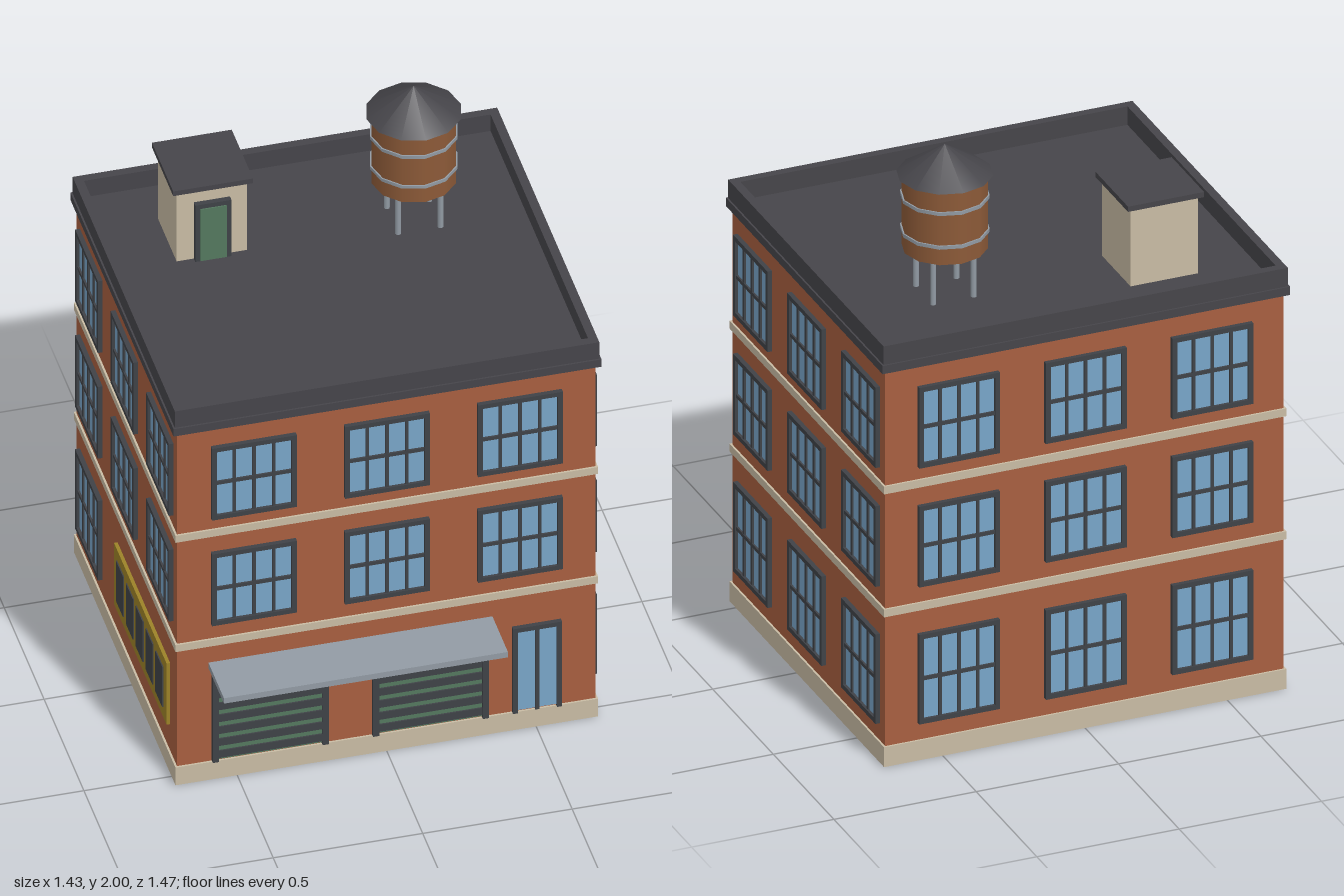
import * as THREE from 'three';

const mat = (name, color) => {
  const m = new THREE.MeshStandardMaterial({ color });
  m.name = name;
  return m;
};

export function createModel() {
  const brick = mat('brick', 0xa85f40);
  const stone = mat('stone', 0xc9bca4);
  const roof = mat('roofing', 0x46454a);
  const trim = mat('darkTrim', 0x3f4247);
  const glass = mat('glass', 0x78a5c8);
  const green = mat('greenPaint', 0x54785f);
  const metal = mat('metal', 0x929ba4);
  const wood = mat('wood', 0x8c5a38);
  const yellow = mat('yellowPaint', 0x9c8228);

  const model = new THREE.Group();
  model.name = 'warehouse';
  const building = new THREE.Group();
  building.name = 'building';
  building.position.z = -0.088;
  model.add(building);

  const add = (parent, name, geometry, material, x = 0, y = 0, z = 0) => {
    const mesh = new THREE.Mesh(geometry, material);
    mesh.name = name;
    mesh.position.set(x, y, z);
    parent.add(mesh);
    return mesh;
  };
  // Box given by its centre in x and z, and its bottom and top heights
  const block = (parent, name, material, w, d, y0, y1, x = 0, z = 0) =>
    add(parent, name, new THREE.BoxGeometry(w, y1 - y0, d), material, x, (y0 + y1) / 2, z);
  // Plate on a wall, standing out from the wall surface (local z = 0) by depth
  const plate = (parent, name, material, x, y, w, h, depth) =>
    add(parent, name, new THREE.BoxGeometry(w, h, depth + 0.004), material, x, y, (depth - 0.004) / 2);

  // Main masses
  const HX = 0.7, HZ = 0.631;
  const slab = (name, material, out, y0, y1) =>
    block(building, name, material, 2 * (HX + out), 2 * (HZ + out), y0, y1);
  slab('walls', brick, 0, 0, 1.44);
  slab('plinth', stone, 0.007, 0.001, 0.073);
  slab('lowerBand', stone, 0.007, 0.545, 0.573);
  slab('upperBand', stone, 0.007, 0.992, 1.02);
  slab('cornice', roof, 0.016, 1.435, 1.465);

  // Parapet around the roof deck
  for (const s of [-1, 1]) {
    block(building, 'parapetLong', roof, 1.42, 0.03, 1.465, 1.532, 0, s * 0.626);
    block(building, 'parapetShort', roof, 0.03, 1.222, 1.465, 1.532, s * 0.695, 0);
  }

  // Frame with open middle; the bottom rail is optional
  const frame = (g, w, h, t, bottom = true) => {
    for (const s of [-1, 1]) plate(g, 'frameSide', trim, s * (w - t) / 2, 0, t, h, 0.016);
    plate(g, 'frameTop', trim, 0, (h - t) / 2, w - 2 * t, t, 0.016);
    if (bottom) plate(g, 'frameBottom', trim, 0, (t - h) / 2, w - 2 * t, t, 0.016);
  };
  const opening = (wall, name, x, y) => {
    const g = new THREE.Group();
    g.name = name;
    g.position.set(x, y, 0);
    wall.add(g);
    return g;
  };
  const addWindow = (wall, x, y, h) => {
    const g = opening(wall, 'window', x, y), w = 0.284;
    plate(g, 'pane', glass, 0, 0, w - 0.02, h - 0.02, 0.006);
    frame(g, w, h, 0.017);
    for (const i of [-1, 0, 1]) plate(g, 'mullion', trim, i * 0.066, 0, 0.011, h - 0.034, 0.012);
    plate(g, 'crossBar', trim, 0, 0, w - 0.034, 0.013, 0.0125);
  };

  // The four walls as groups facing outwards
  const addWall = (name, angle, dist) => {
    const g = new THREE.Group();
    g.name = name;
    g.rotation.y = angle;
    g.position.set(Math.sin(angle) * dist, 0, Math.cos(angle) * dist);
    building.add(g);
    return g;
  };
  const front = addWall('frontWall', 0, HZ);
  const back = addWall('backWall', Math.PI, HZ);
  const left = addWall('leftWall', Math.PI / 2, HX);
  const right = addWall('rightWall', -Math.PI / 2, HX);
  const columns = [-0.445, 0, 0.445];
  for (const wall of [front, back, left, right]) {
    for (const x of columns) {
      addWindow(wall, x, 1.212, 0.293);
      addWindow(wall, x, 0.78, 0.293);
      const plain = wall === back || wall === left || (wall === right && x < -0.1);
      if (plain) addWindow(wall, x, 0.298, 0.325);
    }
  }

  // Roller doors with dark ribs
  for (const x of [-0.39, 0.146]) {
    const g = opening(front, 'rollerDoor', x, 0.249), w = 0.388, h = 0.35;
    plate(g, 'shutter', green, 0, 0, w - 0.02, h - 0.01, 0.006);
    frame(g, w, h, 0.021, false);
    for (let i = 0; i < 7; i++) plate(g, 'rib', trim, 0, 0.145 - i * 0.0488, w - 0.042, 0.029, 0.011);
  }

  // Glazed entrance door
  const door = opening(front, 'entranceDoor', 0.502, 0.247);
  plate(door, 'doorGlass', glass, 0, 0, 0.145, 0.335, 0.006);
  frame(door, 0.164, 0.346, 0.017, false);
  plate(door, 'doorPost', trim, 0, -0.008, 0.013, 0.329, 0.012);

  // Canopy over the roller doors
  block(building, 'canopy', metal, 0.95, 0.2, 0.453, 0.475, -0.12, 0.726);

  // Yellow board with five dark panels
  const board = opening(right, 'wallBoard', 0.215, 0.305);
  plate(board, 'boardBack', yellow, 0, 0, 0.66, 0.25, 0.012);
  for (let i = -2; i <= 2; i++) plate(board, 'boardPanel', trim, i * 0.123, 0, 0.088, 0.165, 0.016);

  // Stair hut on the roof
  const hut = new THREE.Group();
  hut.name = 'stairHut';
  hut.position.set(-0.36, 0, -0.413);
  model.add(hut);
  block(hut, 'hutWalls', stone, 0.236, 0.236, 1.46, 1.746);
  block(hut, 'hutCap', roof, 0.267, 0.267, 1.746, 1.765);
  block(hut, 'hutDoorFrame', trim, 0.121, 0.022, 1.465, 1.695, 0, 0.126);
  block(hut, 'hutDoor', green, 0.088, 0.006, 1.468, 1.678, 0, 0.138);

  // Water tank on four legs
  const tank = new THREE.Group();
  tank.name = 'waterTank';
  tank.position.set(0.323, 0, -0.325);
  model.add(tank);
  const drum = (name, material, rTop, rBottom, y0, y1, sides = 12) =>
    add(tank, name, new THREE.CylinderGeometry(rTop, rBottom, y1 - y0, sides), material, 0, (y0 + y1) / 2);
  drum('tankBody', wood, 0.141, 0.141, 1.63, 1.897);
  drum('tankHoop', metal, 0.146, 0.146, 1.689, 1.701);
  drum('tankHoop', metal, 0.146, 0.146, 1.811, 1.823);
  add(tank, 'tankRoof', new THREE.ConeGeometry(0.158, 0.105, 12), roof, 0, 1.9475);
  for (const sx of [-1, 1]) for (const sz of [-1, 1]) {
    const leg = drum('tankLeg', metal, 0.01, 0.01, 1.46, 1.635, 8);
    leg.position.x = sx * 0.071;
    leg.position.z = sz * 0.071;
  }
  return model;
}
